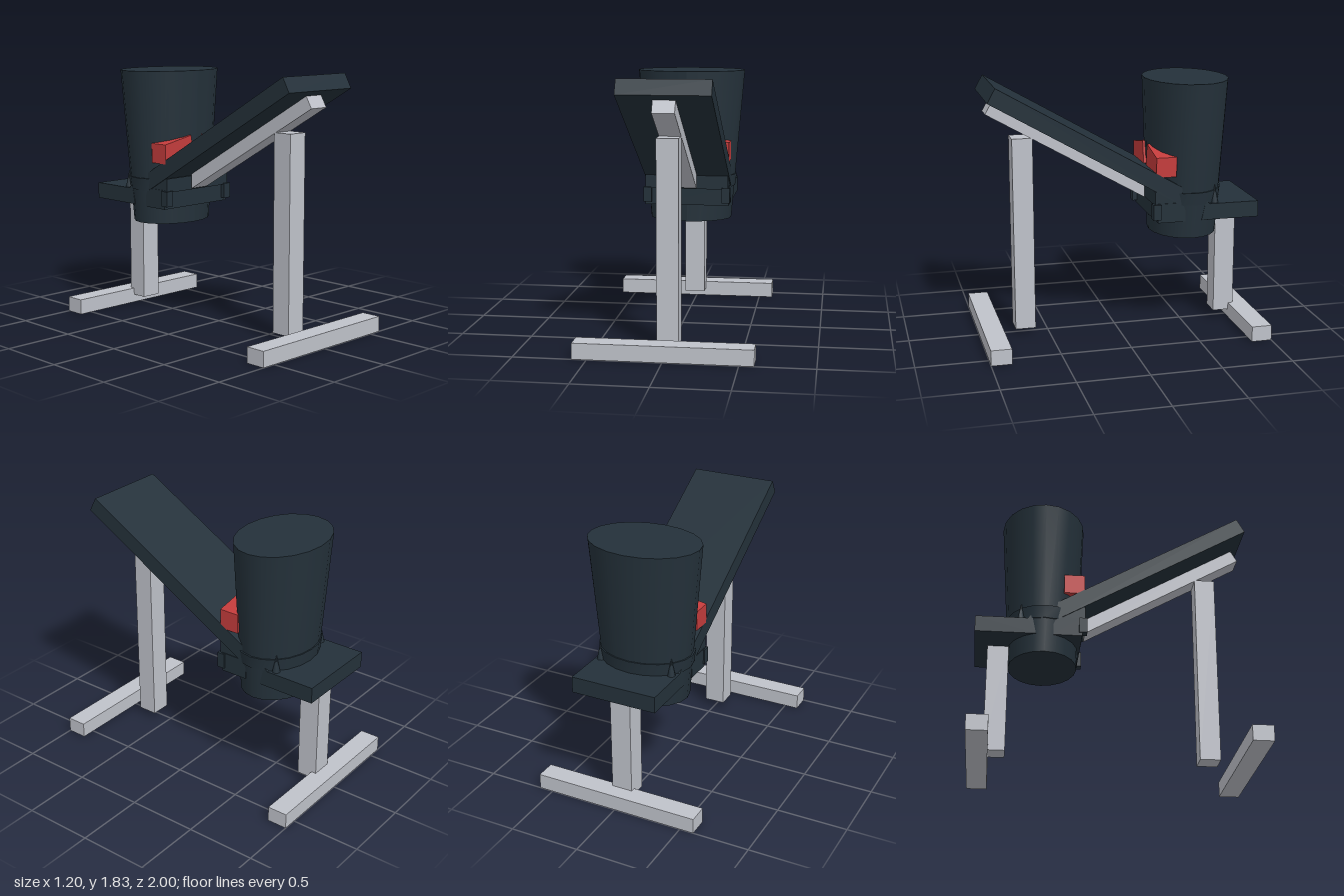
import * as THREE from 'three';

const charcoal = new THREE.MeshStandardMaterial({ color: 0x24313a });
charcoal.name = 'charcoal';
const lightGrey = new THREE.MeshStandardMaterial({ color: 0xbfc2ca });
lightGrey.name = 'light grey';
const red = new THREE.MeshStandardMaterial({ color: 0xc43c3c });
red.name = 'red';

export function createModel() {
  const model = new THREE.Group();
  model.name = 'hopperAndChute';

  const add = (name, geometry, material) => {
    const mesh = new THREE.Mesh(geometry, material);
    mesh.name = name;
    model.add(mesh);
    return mesh;
  };
  // box given by its limits on each axis
  const box = (name, material, [x0, x1], [y0, y1], [z0, z1]) => {
    const mesh = add(name, new THREE.BoxGeometry(x1 - x0, y1 - y0, z1 - z0), material);
    mesh.position.set((x0 + x1) / 2, (y0 + y1) / 2, (z0 + z1) / 2);
    return mesh;
  };
  // side profile of [z, y] points, extruded across x
  const profile = (name, material, points, halfWidth) => {
    const shape = new THREE.Shape(points.map(([z, y]) => new THREE.Vector2(-z, y)));
    const geometry = new THREE.ExtrudeGeometry(shape, { depth: halfWidth * 2, bevelEnabled: false });
    geometry.translate(0, 0, -halfWidth).rotateY(Math.PI / 2);
    return add(name, geometry, material);
  };
  // tapered oval drum: each end is [y, x radius, z radius, z centre]
  const oval = (name, top, bottom) => {
    const geometry = new THREE.CylinderGeometry(1, 1, 1, 20);
    const p = geometry.attributes.position;
    for (let i = 0; i < p.count; i++) {
      const [y, rx, rz, cz] = p.getY(i) > 0 ? top : bottom;
      p.setXYZ(i, p.getX(i) * rx, y, p.getZ(i) * rz + cz);
    }
    geometry.computeVertexNormals();
    return add(name, geometry, charcoal);
  };

  // stand
  box('frontFoot', lightGrey, [-0.6, 0.6], [0, 0.11], [0.855, 1]);
  box('backFoot', lightGrey, [-0.6, 0.6], [0, 0.11], [-1, -0.855]);
  box('frontPost', lightGrey, [-0.075, 0.075], [0.045, 1.435], [0.6, 0.745]);
  box('backPost', lightGrey, [-0.075, 0.075], [0.06, 0.86], [-0.89, -0.74]);

  // sloping board and the beam under it
  profile('slopingBoard', charcoal, [[0.94, 1.73], [0.885, 1.83], [-0.46, 1.055], [-0.405, 0.955]], 0.312);
  profile('supportBeam', lightGrey, [[0.925, 1.615], [0.87, 1.71], [-0.205, 1.09], [-0.205, 0.965]], 0.075);

  // hopper and its band
  oval('hopper', [1.815, 0.4, 0.298, -0.515], [0.705, 0.305, 0.242, -0.5]);
  oval('hopperBand', [1.04, 0.345, 0.272, -0.5], [0.95, 0.333, 0.262, -0.5]);

  // rear shelf
  profile('rearShelf', charcoal, [[-0.98, 0.835], [-0.98, 0.95], [-0.62, 0.95], [-0.59, 0.98], [-0.56, 0.835]], 0.31);

  // brackets joining the board to the hopper
  box('upperBracket', charcoal, [-0.305, 0.305], [0.955, 1.055], [-0.42, -0.22]);
  box('lowerBracket', charcoal, [-0.262, 0.262], [0.832, 0.955], [-0.4, -0.24]);

  for (const side of [-1, 1]) {
    // small clamps beside the lower bracket
    const clamp = box('clamp', charcoal, [-0.03, 0.03], [0.855, 0.965], [-0.262, -0.205]);
    clamp.position.x = side * 0.29;
    const cheek = box('sideBracket', charcoal, [-0.03, 0.03], [0.832, 0.97], [-0.44, -0.24]);
    cheek.position.x = side * 0.28;

    // pointed pegs on the rear shelf
    const peg = add('peg', new THREE.ConeGeometry(0.03, 0.14, 8), charcoal);
    peg.position.set(side * 0.27, 1.01, -0.665);

    // red blocks, higher towards the middle
    const x = (v) => v * side;
    const face = new THREE.Shape([
      new THREE.Vector2(x(0.312), 1.16), new THREE.Vector2(x(0.312), 1.3),
      new THREE.Vector2(x(0.06), 1.35), new THREE.Vector2(x(0.03), 1.19),
    ]);
    const block = new THREE.ExtrudeGeometry(face, { depth: 0.145, bevelEnabled: false });
    block.translate(0, 0, -0.37);
    add('redBlock', block, red);
  }

  return model;
}
